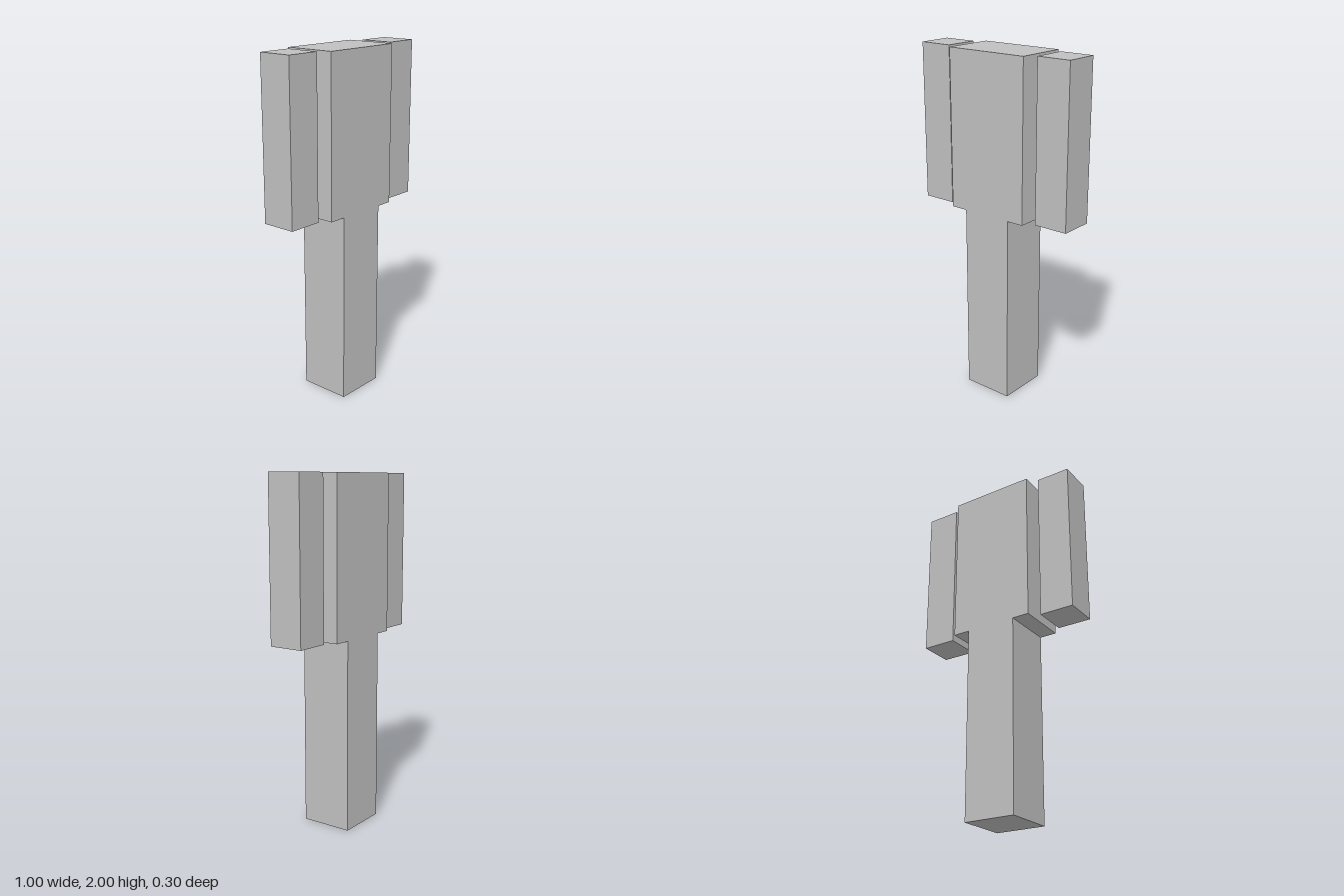
import * as THREE from 'three';

export function createModel() {
  const model = new THREE.Group();
  const grey = new THREE.MeshStandardMaterial({ color: 0xc0c0c0 });
  grey.name = 'light grey';

  // Box standing on height y, centred on x
  const addBlock = (name, width, height, depth, x, y) => {
    const mesh = new THREE.Mesh(new THREE.BoxGeometry(width, height, depth), grey);
    mesh.name = name;
    mesh.position.set(x, y + height / 2, 0);
    model.add(mesh);
  };

  const hip = 1.1; // underside of the torso and arms

  addBlock('legs', 0.3, hip, 0.3, 0, 0);
  addBlock('torso', 0.5, 2 - hip, 0.3, 0, hip);

  // Arms hang free, with a gap beside the torso
  for (const [name, side] of [['leftArm', 1], ['rightArm', -1]]) {
    addBlock(name, 0.2, 2 - hip, 0.2, side * 0.4, hip);
  }

  return model;
}
